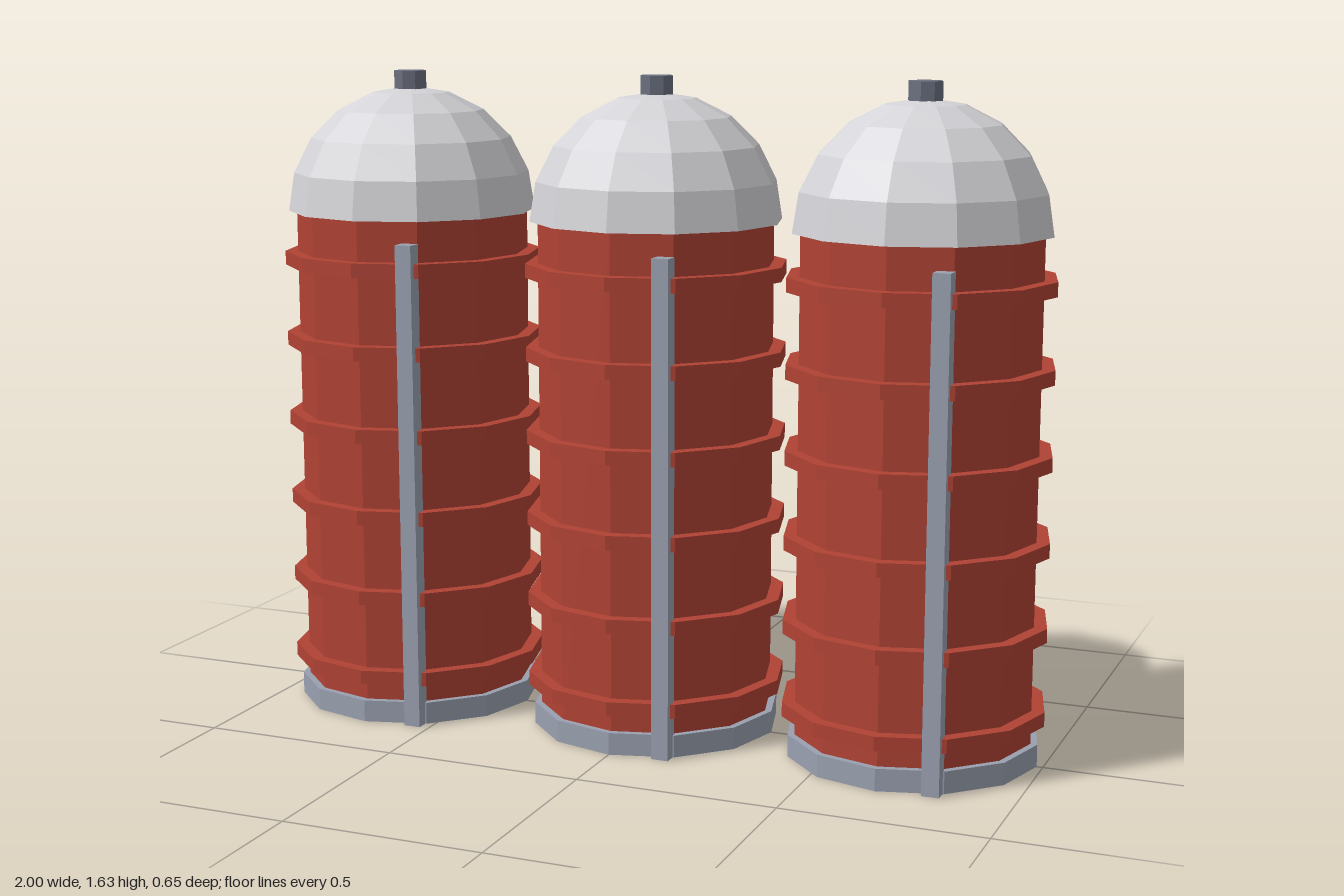
import * as THREE from 'three';

const mat = (name, color, extra = {}) => {
  const m = new THREE.MeshStandardMaterial({ color, flatShading: true, ...extra });
  m.name = name;
  return m;
};

export function createModel() {
  const red = mat('red wall', 0xb04234);
  const steel = mat('grey steel', 0x9aa0b0);
  const pale = mat('pale dome', 0xd4d4d8, { side: THREE.DoubleSide });
  const slate = mat('dark slate', 0x6b7080);

  const SIDES = 12;
  const model = new THREE.Group();
  model.name = 'siloRow';

  function add(parent, name, geometry, material, x, y, z) {
    const mesh = new THREE.Mesh(geometry, material);
    mesh.name = name;
    mesh.position.set(x, y, z);
    parent.add(mesh);
  }

  // Upright prism standing between two heights
  function drum(parent, name, radius, y0, y1, material, sides = SIDES) {
    const g = new THREE.CylinderGeometry(radius, radius, y1 - y0, sides);
    add(parent, name, g, material, 0, (y0 + y1) / 2, 0);
  }

  function createSilo() {
    const silo = new THREE.Group();
    silo.name = 'silo';
    drum(silo, 'base', 0.31, 0, 0.055, steel);
    drum(silo, 'wall', 0.293, 0.01, 1.28, red);

    // Evenly spaced hoops around the wall
    for (let i = 0; i < 6; i++) {
      const y = 0.12 + i * 0.207;
      drum(silo, 'hoop', 0.325, y - 0.0175, y + 0.0175, red);
    }

    // Domed roof with a small vent on top
    const dome = new THREE.SphereGeometry(0.313, SIDES, 5, 0, Math.PI * 2, 0, Math.PI / 2);
    add(silo, 'dome', dome, pale, 0, 1.275, 0);
    drum(silo, 'vent', 0.042, 1.56, 1.627, slate, 8);

    // Ladder rail on the front
    add(silo, 'ladder', new THREE.BoxGeometry(0.043, 1.22, 0.04), steel, 0.13, 0.61, 0.28);
    return silo;
  }

  for (const x of [-0.675, 0, 0.675]) {
    const silo = createSilo();
    silo.position.x = x;
    model.add(silo);
  }
  return model;
}
